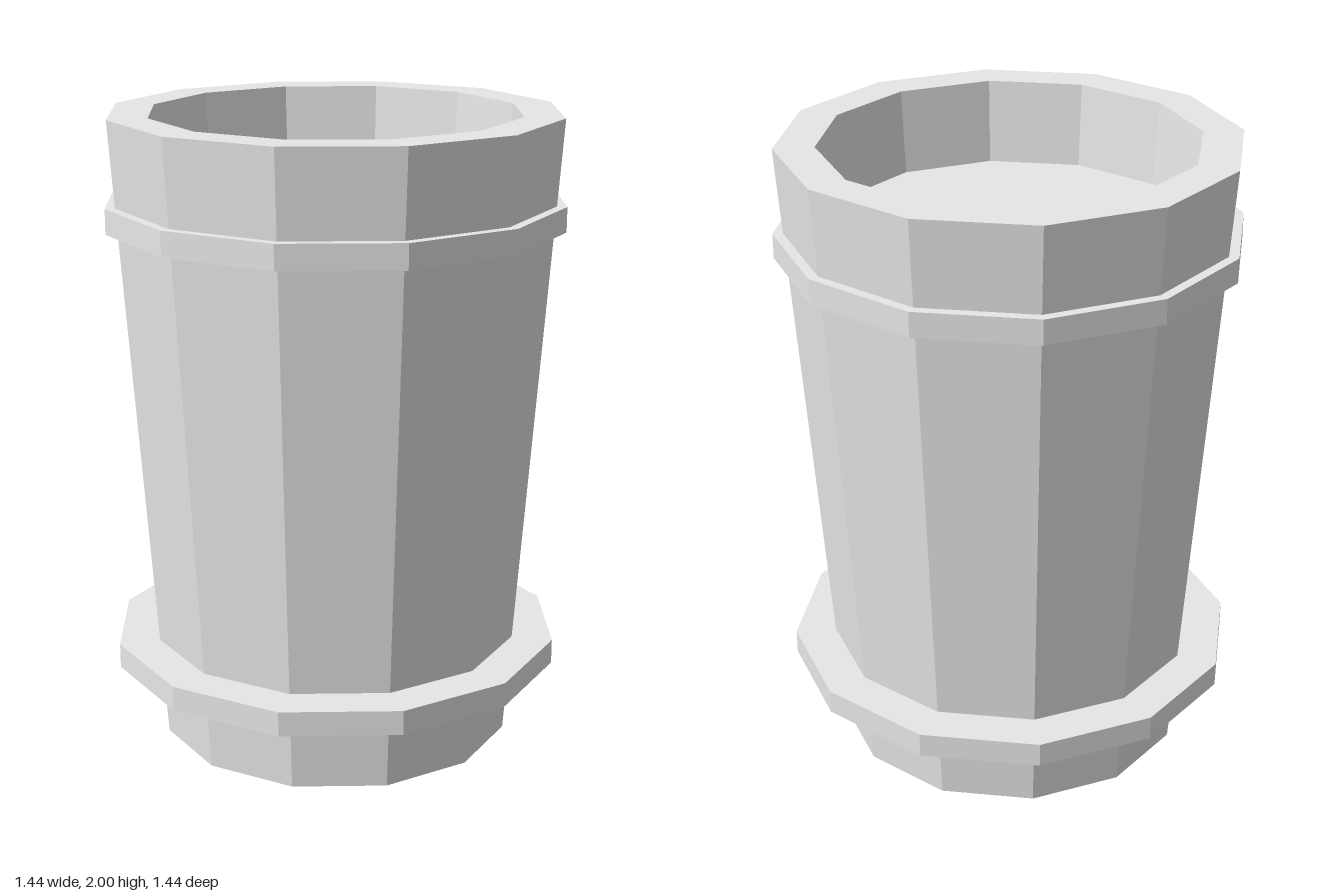
import * as THREE from 'three';

const SIDES = 12;

// Revolves a profile of [radius, height] points, running up the outside
function turned(name, profile, material) {
  const points = profile.map(([r, y]) => new THREE.Vector2(r, y));
  const mesh = new THREE.Mesh(new THREE.LatheGeometry(points, SIDES), material);
  mesh.name = name;
  return mesh;
}

export function createModel() {
  const group = new THREE.Group();
  group.name = 'barrel';
  const grey = new THREE.MeshStandardMaterial({ color: 0xe7e7e7 });
  grey.name = 'light grey';
  grey.flatShading = true;

  // Tapered body with a thick rim and a shallow recess in the top
  group.add(turned('body', [
    [0, 0], [0.565, 0], [0.705, 2], [0.58, 2], [0.563, 1.735], [0, 1.735],
  ], grey));

  // Two equal hoops; their inner edges sit inside the body wall
  for (const [name, y] of [['lowerHoop', 0.245], ['upperHoop', 1.657]]) {
    const inner = 0.565 + 0.07 * y - 0.02;
    group.add(turned(name, [
      [inner, y], [0.718, y], [0.718, y + 0.078], [inner, y + 0.078],
    ], grey));
  }
  return group;
}
